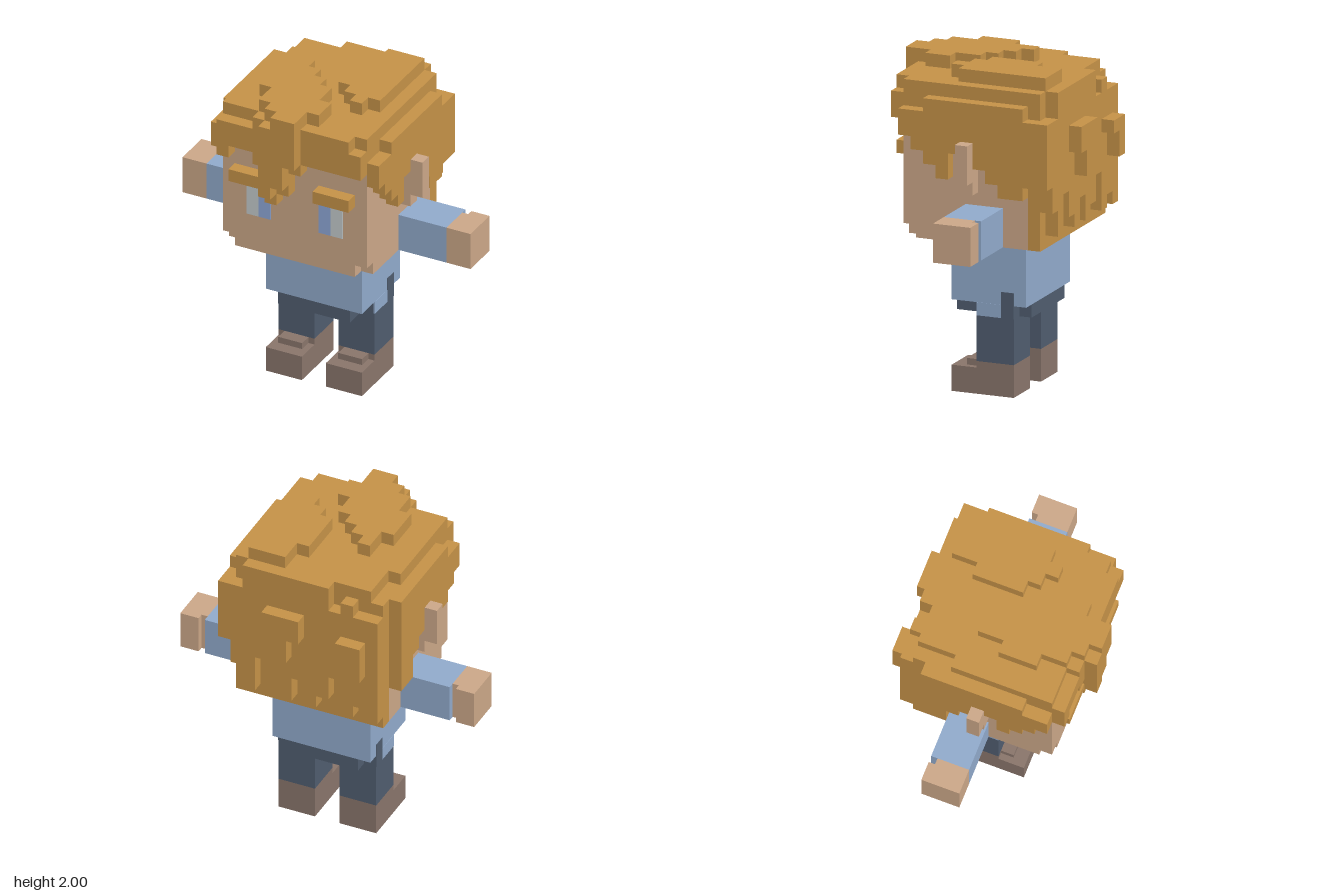
import * as THREE from 'three';

export function createModel() {
  const root = new THREE.Group();
  const mat = (name, color) => {
    const m = new THREE.MeshStandardMaterial({ color });
    m.name = name;
    return m;
  };
  const skin = mat('skin', 0xcaa687), hair = mat('hair', 0xc49147), shirt = mat('shirt', 0x90a9ca);
  const trousers = mat('trousers', 0x4f5c6e), shoe = mat('shoe brown', 0x88746a);
  const eyeWhite = mat('eye white', 0xc2cacb), iris = mat('iris blue', 0x8ea7d6);

  // Block given by its limits on each axis
  const block = (name, m, x0, x1, y0, y1, z0, z1) => {
    const mesh = new THREE.Mesh(new THREE.BoxGeometry(x1 - x0, y1 - y0, z1 - z0), m);
    mesh.position.set((x0 + x1) / 2, (y0 + y1) / 2, (z0 + z1) / 2);
    mesh.name = name;
    root.add(mesh);
  };
  // The same block on one side, s = 1 left, s = -1 right
  const side = (s, name, m, x0, x1, ...yz) =>
    s > 0 ? block(name, m, x0, x1, ...yz) : block(name, m, -x1, -x0, ...yz);

  // Torso, waistband and collar
  block('torso', shirt, -0.32, 0.32, 0.56, 0.97, -0.28, 0.2);
  block('waistband', trousers, -0.24, 0.24, 0.48, 0.56, -0.28, 0.2);
  block('collar', eyeWhite, -0.04, 0.04, 0.92, 0.96, 0.2, 0.203);

  for (const s of [1, -1]) {
    // Legs and shoes
    side(s, 'leg', trousers, 0.08, 0.32, 0.2, 0.56, -0.2, 0.04);
    side(s, 'shirtFlap', shirt, 0.315, 0.322, 0.48, 0.56, -0.12, 0.04);
    side(s, 'sideSeam', trousers, 0.315, 0.323, 0.48, 0.64, -0.2, -0.12);
    side(s, 'shoeHeel', shoe, 0.08, 0.32, 0, 0.2, -0.2, 0.04);
    side(s, 'shoeToe', shoe, 0.08, 0.32, 0, 0.16, 0.04, 0.2);
    side(s, 'shoeTongue', shoe, 0.12, 0.28, 0.16, 0.2, 0.04, 0.12);
    // Arms and hands
    side(s, 'sleeve', shirt, 0.4, 0.8, 0.961, 1.2, -0.2, 0.04);
    side(s, 'wrist', skin, 0.8, 0.84, 0.961, 1.2, -0.16, 0.04);
    side(s, 'hand', skin, 0.84, 0.96, 0.961, 1.2, -0.2, 0.04);
    // Ears
    side(s, 'ear', skin, 0.48, 0.64, 1.36, 1.6, -0.04, 0.04);
    side(s, 'earLobe', skin, 0.48, 0.56, 1.28, 1.36, -0.04, 0.04);
    // Eyes and eyebrows
    side(s, 'iris', iris, 0.16, 0.24, 1.2, 1.44, 0.44, 0.444);
    side(s, 'eyeWhite', eyeWhite, 0.24, 0.32, 1.2, 1.44, 0.44, 0.444);
    side(s, 'eyebrow', hair, 0.16, 0.4, 1.44, 1.52, 0.44, 0.52);
  }

  // Head with notched jaw corners
  block('head', skin, -0.48, 0.48, 1.04, 1.72, -0.36, 0.44);
  block('jaw', skin, -0.48, 0.48, 0.96, 1.04, -0.36, 0.36);
  block('chin', skin, -0.4, 0.4, 0.96, 1.04, 0.36, 0.44);

  // Hair cap in stacked layers
  block('hairCap', hair, -0.48, 0.48, 1.7, 1.84, -0.44, 0.44);
  block('hairUpper', hair, -0.48, 0.48, 1.84, 1.92, -0.2, 0.44);
  block('hairUpperBack', hair, -0.4, 0.48, 1.84, 1.92, -0.44, -0.2);
  block('hairUpperBackEdge', hair, -0.16, 0.4, 1.84, 1.92, -0.52, -0.44);
  block('hairUpperFront', hair, -0.24, 0.4, 1.84, 1.92, 0.44, 0.52);

  // Tufts on top: x start, z start, z end
  const tufts = [
    [-0.32, 0.04, 0.28], [-0.24, -0.12, 0.44], [-0.16, -0.04, 0.52], [-0.08, 0.04, 0.6],
    [0, 0.12, 0.6], [0.08, 0.28, 0.44],
    [0.08, -0.28, 0.04], [0.16, -0.44, 0.12], [0.24, -0.44, 0.2], [0.32, -0.44, 0.12],
  ];
  for (const [x, z0, z1] of tufts) block('topTuft', hair, x, x + 0.08, 1.92, 2, z0, z1);

  // Fringe columns from the right: lower end of each, with its top
  const fringe = [1.6, 1.68, 1.68, 1.6, 1.36, 1.44, 1.6, 1.68, 1.68, 1.68, 1.68, 1.68];
  fringe.forEach((y, i) => {
    const x = -0.48 + i * 0.08;
    block('fringe', hair, x, x + 0.08, y, 1.84, 0.44, 0.52);
  });
  // Forelock hanging in front of the fringe
  block('forelock', hair, -0.16, -0.08, 1.44, 1.92, 0.52, 0.6);
  block('forelock', hair, -0.08, 0, 1.52, 1.92, 0.52, 0.6);
  block('forelock', hair, 0, 0.08, 1.68, 1.92, 0.52, 0.6);

  // Side hair columns, front to back
  const sideEnds = [1.6, 1.52, 1.44, 1.36, 1.52, 1.6, 1.44, 1.36, 1.28, 1.28];
  for (const s of [1, -1]) {
    sideEnds.forEach((y, i) => {
      const z = 0.44 - i * 0.08;
      const low = s < 0 && i > 7 ? 1.2 : y;
      side(s, 'sideHair', hair, 0.48, 0.56, low, i < 2 ? 1.76 : 1.84, z - 0.08, z);
    });
  }
  block('leftBackCorner', hair, 0.48, 0.56, 1.36, 1.76, -0.52, -0.36);

  // Back hair: inner sheet and outer strands from the right
  block('backHair', hair, -0.48, 0.48, 0.96, 1.7, -0.44, -0.36);
  const backEnds = [1.04, 1.12, 1.04, 1.28, 1.12, 1.04, 1.2, 1.04, 1.12, 1.28, 1.04, 1.2];
  const backTops = [1.76, 1.76, 1.84, 1.76, 1.84, 1.84, 1.84, 1.84, 1.84, 1.84, 1.84, 1.76];
  backEnds.forEach((y, i) => {
    const x = -0.48 + i * 0.08;
    block('backStrand', hair, x, x + 0.08, y, backTops[i], -0.52, -0.44);
  });
  // Raised locks on the back
  block('backLock', hair, -0.4, -0.24, 1.52, 1.6, -0.6, -0.52);
  block('backLock', hair, -0.4, -0.32, 1.36, 1.52, -0.6, -0.52);
  block('backLock', hair, 0, 0.24, 1.52, 1.68, -0.6, -0.52);
  block('backLock', hair, 0.08, 0.16, 1.36, 1.52, -0.6, -0.52);

  return root;
}
